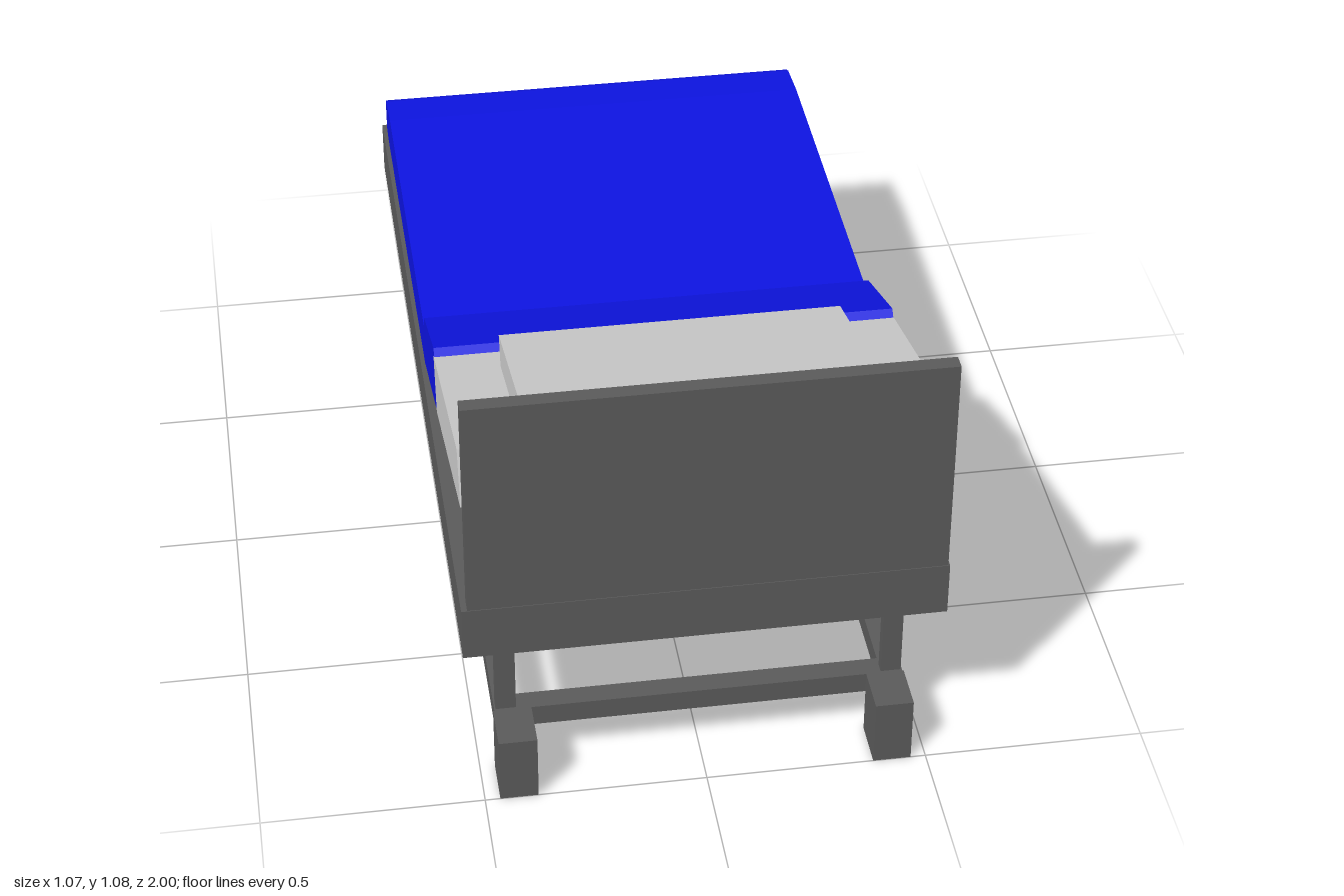
import * as THREE from 'three';

const dark = new THREE.MeshStandardMaterial({ color: 0x5a5a5a });
const grey = new THREE.MeshStandardMaterial({ color: 0xcccccc });
const blue = new THREE.MeshStandardMaterial({ color: 0x0d14e0 });

// Box given by its [min, max] range on each axis
function box(name, [x0, x1], [y0, y1], [z0, z1], material = dark) {
  const mesh = new THREE.Mesh(new THREE.BoxGeometry(x1 - x0, y1 - y0, z1 - z0), material);
  mesh.position.set((x0 + x1) / 2, (y0 + y1) / 2, (z0 + z1) / 2);
  mesh.name = name;
  return mesh;
}

// Side profile of [z, y] points, extruded across the bed
function slab(name, profile, width, material) {
  const shape = new THREE.Shape(profile.map(([z, y]) => new THREE.Vector2(z, y)));
  const geometry = new THREE.ExtrudeGeometry(shape, { depth: width, bevelEnabled: false });
  geometry.translate(0, 0, -width / 2).rotateY(-Math.PI / 2);
  const mesh = new THREE.Mesh(geometry, material);
  mesh.name = name;
  return mesh;
}

export function createModel() {
  const bed = new THREE.Group();
  bed.name = 'adjustableBed';

  // Platform and headboard
  bed.add(box('platform', [-0.535, 0.535], [0.4, 0.53], [-1, 0.975]));
  bed.add(box('headboard', [-0.523, 0.528], [0.54, 1.075], [0.95, 0.985]));

  // Feet and posts, mirrored left and right
  for (const [side, s] of [['left', 1], ['right', -1]]) {
    const across = (a, b) => (s > 0 ? [a, b] : [-b, -a]);
    bed.add(box(side + 'FrontFoot', across(0.38, 0.466), [0, 0.163], [0.89, 1]));
    bed.add(box(side + 'BackFoot', across(0.38, 0.466), [0, 0.163], [-0.955, -0.845]));
    bed.add(box(side + 'FrontPost', across(0.414, 0.46), [0.16, 0.4], [0.862, 0.885]));
    bed.add(box(side + 'BackPost', across(0.414, 0.46), [0.16, 0.4], [-0.839, -0.816]));
    bed.add(box(side + 'Rail', across(0.414, 0.463), [0.112, 0.163], [-0.845, 0.89]));
  }

  // Cross rails between the side rails
  bed.add(box('frontRail', [-0.414, 0.414], [0.112, 0.163], [0.84, 0.89]));
  bed.add(box('backRail', [-0.414, 0.414], [0.112, 0.163], [-0.845, -0.795]));

  // Raised head end of the mattress
  bed.add(slab('mattressHead', [
    [0.39, 0.63], [0.95, 0.795], [0.912, 0.92], [0.36, 0.765],
  ], 1.052, grey));

  // Pillow lying on the raised mattress
  bed.add(slab('pillow', [
    [0.46, 0.788], [0.885, 0.912], [0.862, 0.986], [0.437, 0.862],
  ], 0.77, grey));

  // Blanket over the flat part and the start of the raised part
  bed.add(slab('blanket', [
    [0.08, 0.537], [0.391, 0.63], [0.372, 0.765], [0.355, 0.783], [0.1, 0.686],
    [0.082, 0.648], [-0.83, 0.648], [-0.94, 0.637], [-0.963, 0.627],
    [-0.963, 0.545], [-0.945, 0.537], [-0.91, 0.532], [0.07, 0.532],
  ].reverse(), 1.05, blue));

  return bed;
}
